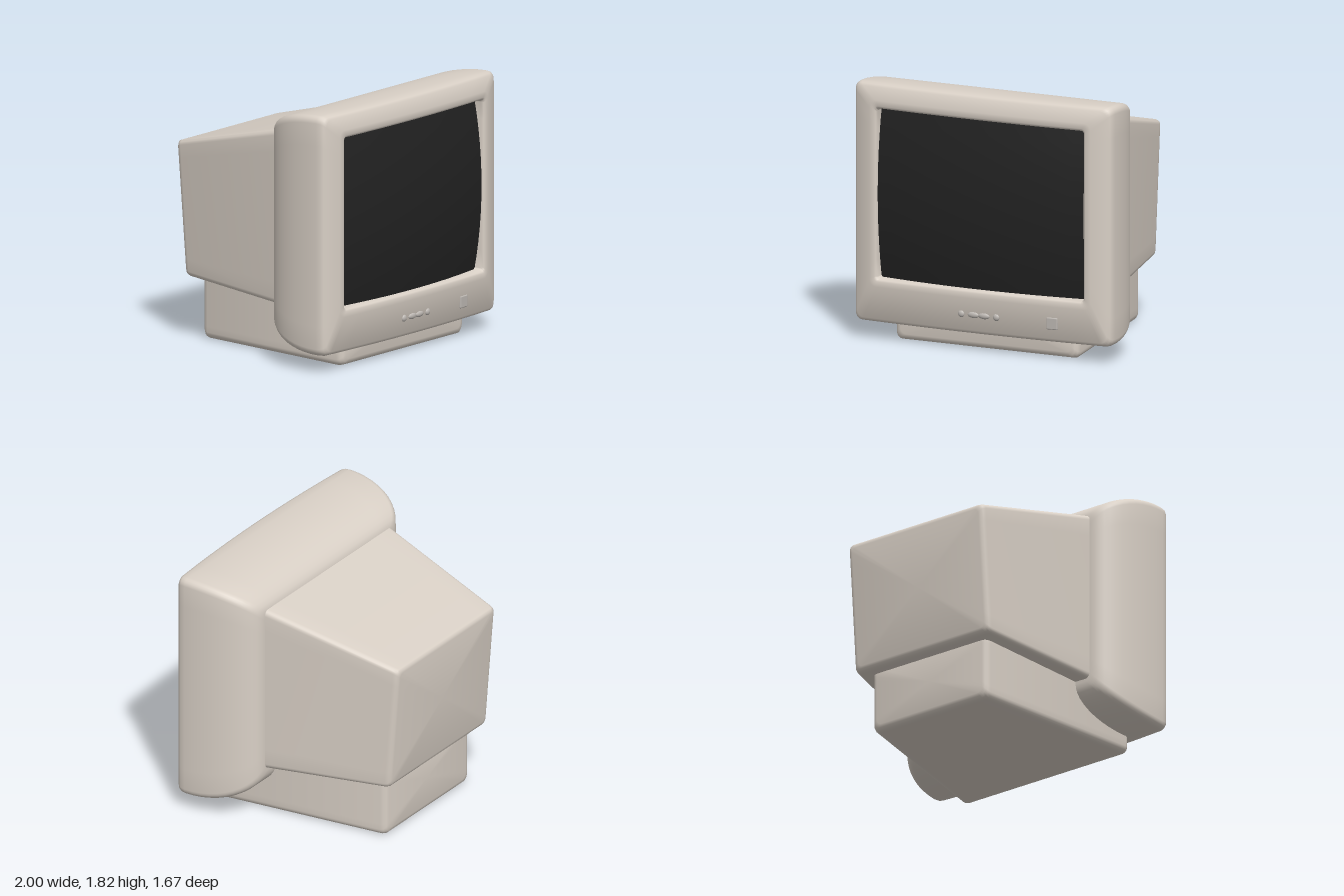
import * as THREE from 'three';
import { toCreasedNormals } from 'three/addons/utils/BufferGeometryUtils.js';
import { RoundedBoxGeometry } from 'three/addons/geometries/RoundedBoxGeometry.js';

const ARC = 5, EDGE = 10;

// Rounded rectangle, counter-clockwise from the front; z is a number or a rule of (x, y)
function ringPoints({ hw, y0, y1, r, z }) {
  const corners = [[hw - r, y0 + r, -0.5], [hw - r, y1 - r, 0], [-hw + r, y1 - r, 0.5], [-hw + r, y0 + r, 1]];
  const arcs = corners.map(([cx, cy, a]) => Array.from({ length: ARC + 1 }, (_, i) => {
    const t = (a + 0.5 * i / ARC) * Math.PI;
    return [cx + r * Math.cos(t), cy + r * Math.sin(t)];
  }));
  const pts = [];
  arcs.forEach((arc, k) => {
    pts.push(...arc);
    const [ax, ay] = arc[ARC], [bx, by] = arcs[(k + 1) % 4][0];
    for (let i = 1; i < EDGE; i++) pts.push([ax + (bx - ax) * i / EDGE, ay + (by - ay) * i / EDGE]);
  });
  return pts.map(([x, y]) => [x, y, typeof z === 'function' ? z(x, y) : z]);
}

// Skin over rings ordered from back to front, with optional end caps
function loft(rings, capBack, capFront) {
  const loops = rings.map(ringPoints), n = loops[0].length;
  const pos = loops.flat(2), index = [];
  for (let k = 0; k < loops.length - 1; k++) {
    for (let i = 0; i < n; i++) {
      const j = (i + 1) % n, a = k * n, b = a + n;
      index.push(a + i, a + j, b + j, a + i, b + j, b + i);
    }
  }
  const cap = (k, front) => {
    const c = pos.length / 3;
    [0, 1, 2].forEach(d => pos.push(loops[k].reduce((s, p) => s + p[d], 0) / n));
    for (let i = 0; i < n; i++) {
      const a = k * n + i, b = k * n + (i + 1) % n;
      index.push(c, ...(front ? [a, b] : [b, a]));
    }
  };
  if (capBack) cap(0, false);
  if (capFront) cap(loops.length - 1, true);
  const g = new THREE.BufferGeometry();
  g.setAttribute('position', new THREE.Float32BufferAttribute(pos, 3));
  g.setIndex(index);
  return toCreasedNormals(g, 0.7);
}

export function createModel() {
  const model = new THREE.Group();
  model.name = 'monitor';
  const shell = new THREE.MeshStandardMaterial({ color: 0xd9d0c6 });
  const dark = new THREE.MeshStandardMaterial({ color: 0x222222 });
  const grey = new THREE.MeshStandardMaterial({ color: 0xbdb8b3 });
  const add = (name, geometry, material, x = 0, y = 0, z = 0) => {
    const mesh = new THREE.Mesh(geometry, material);
    mesh.name = name;
    mesh.position.set(x, y, z);
    model.add(mesh);
    return mesh;
  };

  // Front housing: elliptical shoulder, bowed bezel face and recessed opening
  const bow = z => x => z - 0.04 * x * x;
  const outer = (inset, z, r = 0.05) => ({ hw: 1 - inset, y0: 0.12 + inset, y1: 1.815 - inset * 0.88, r, z });
  const opening = (grow, z) => ({ hw: 0.8 + grow, y0: 0.44 - grow, y1: 1.64 + grow, r: 0.02 + grow * 0.5, z });
  const housing = [];
  for (let i = 0; i <= 12; i++) {
    const t = (1 - i / 12) * Math.PI / 2;
    housing.push(outer(0.24 * (1 - Math.cos(t)), 0.68 - 0.51 * Math.sin(t)));
  }
  housing.push(
    outer(0.003, bow(0.755)), outer(0.012, bow(0.775)), outer(0.03, bow(0.788)),
    opening(0.06, bow(0.813)), opening(0.022, bow(0.815)), opening(0.01, bow(0.808)),
    opening(0.002, bow(0.79)), opening(0, 0.66));
  add('housing', loft(housing, true, false), shell);

  // Tapered rear body with a leaning back face
  const rear = (inset, push) => ({
    hw: 0.585 - inset, y0: 0.44 + inset, y1: 1.395 - inset, r: 0.035,
    z: (x, y) => -0.725 - 0.08 * y + push,
  });
  add('rearBody', loft([
    rear(0.04, 0), rear(0.022, 0.004), rear(0.008, 0.016), rear(0, 0.04),
    { hw: 0.768, y0: 0.375, y1: 1.64, r: 0.04, z: 0.25 },
  ], true, true), shell);

  // Base block, narrower towards the back
  const foot = (hw, inset, z) => ({ hw: hw - inset, y0: inset, y1: 0.5 - inset, r: 0.045, z });
  add('base', loft([
    foot(0.5, 0.045, -0.67), foot(0.5, 0.022, -0.664), foot(0.5, 0.007, -0.648), foot(0.5, 0, -0.625),
    foot(0.71, 0, 0.64), foot(0.71, 0.007, 0.667), foot(0.71, 0.022, 0.684), foot(0.71, 0.045, 0.69),
  ], true, true), shell);

  // Bulging screen
  const glass = new THREE.PlaneGeometry(1.6, 1.2, 16, 12);
  const p = glass.attributes.position;
  for (let i = 0; i < p.count; i++) p.setZ(i, 0.835 - 0.1 * p.getX(i) ** 2 - 0.17 * p.getY(i) ** 2);
  glass.computeVertexNormals();
  add('screen', glass, dark, 0, 1.04, 0);

  // Row of control buttons and the square power button
  for (const s of [-1, 1]) {
    const x = s * 0.136;
    add('roundButton', new THREE.SphereGeometry(1, 24, 16), grey, x, 0.262, 0.797).scale.set(0.025, 0.025, 0.016);
    add('ovalButton', new THREE.SphereGeometry(1, 24, 16), grey, s * 0.041, 0.262, 0.797).scale.set(0.045, 0.022, 0.016);
  }
  add('powerButton', new RoundedBoxGeometry(0.085, 0.085, 0.04, 3, 0.008), grey, 0.565, 0.26, 0.777).rotation.y = 0.045;

  return model;
}
